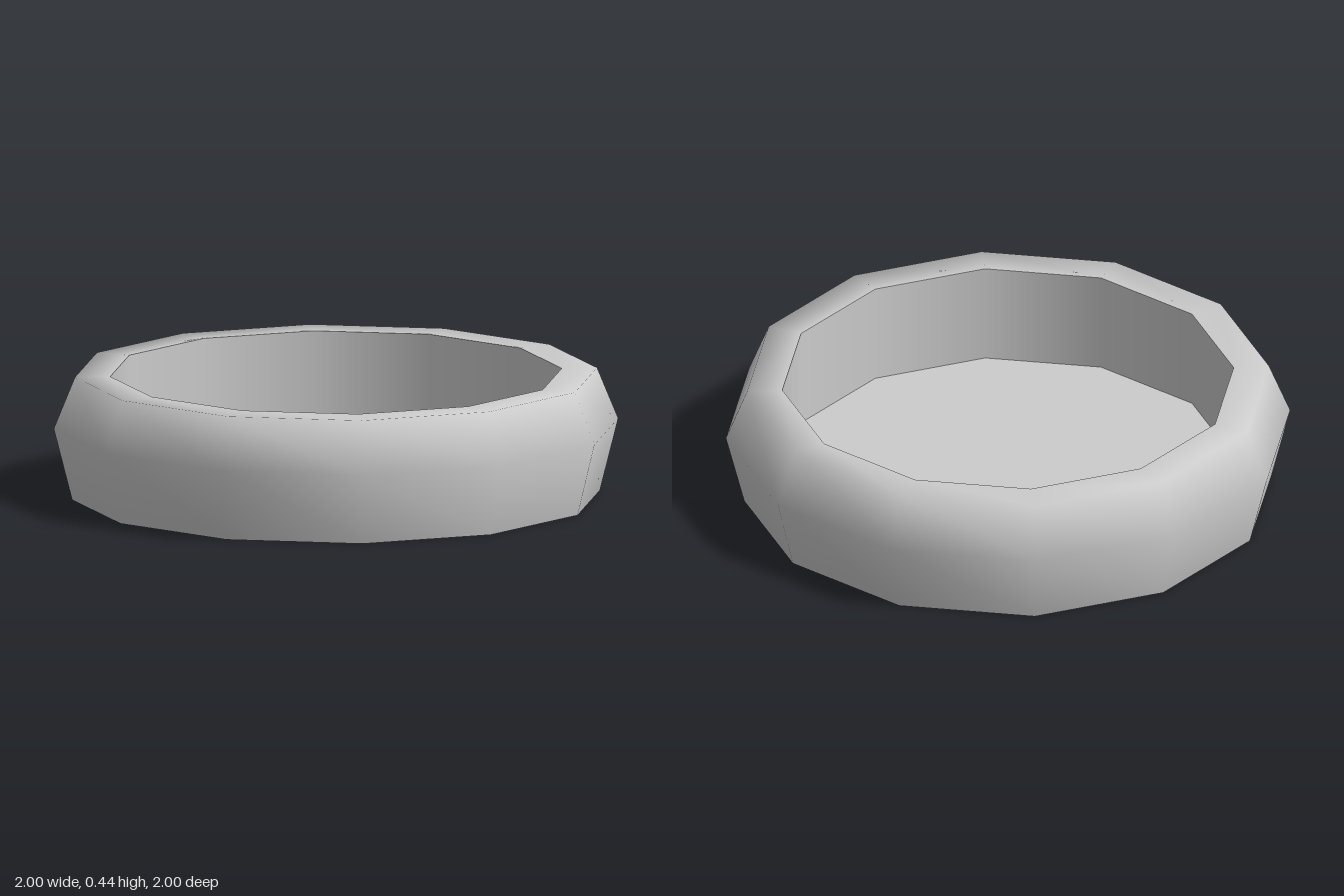
import * as THREE from 'three';

const SIDES = 12;
const HEIGHT = 0.44, FLOOR = 0.08, INNER = 0.8, BASE = 0.935;

export function createModel() {
  const group = new THREE.Group();
  group.name = 'bowl';
  const material = new THREE.MeshStandardMaterial({ color: 0xcccccc });

  const add = (name, geometry) => {
    const mesh = new THREE.Mesh(geometry, material);
    mesh.name = name;
    group.add(mesh);
    return mesh;
  };
  const lathe = (profile) =>
    new THREE.LatheGeometry(profile.map(([r, y]) => new THREE.Vector2(r, y)), SIDES);

  // Bulging outside, smooth up over the flat rim
  add('outerWallAndRim', lathe([[BASE, 0], [1, 0.257], [0.925, HEIGHT], [INNER, HEIGHT]]));

  // Straight inside wall, facing the centre
  add('innerWall', lathe([[INNER, HEIGHT], [INNER, FLOOR]]));

  // Recessed floor and flat underside
  add('floor', new THREE.CircleGeometry(INNER, SIDES).rotateX(-Math.PI / 2)).position.y = FLOOR;
  add('underside', new THREE.CircleGeometry(BASE, SIDES).rotateX(Math.PI / 2));

  return group;
}
